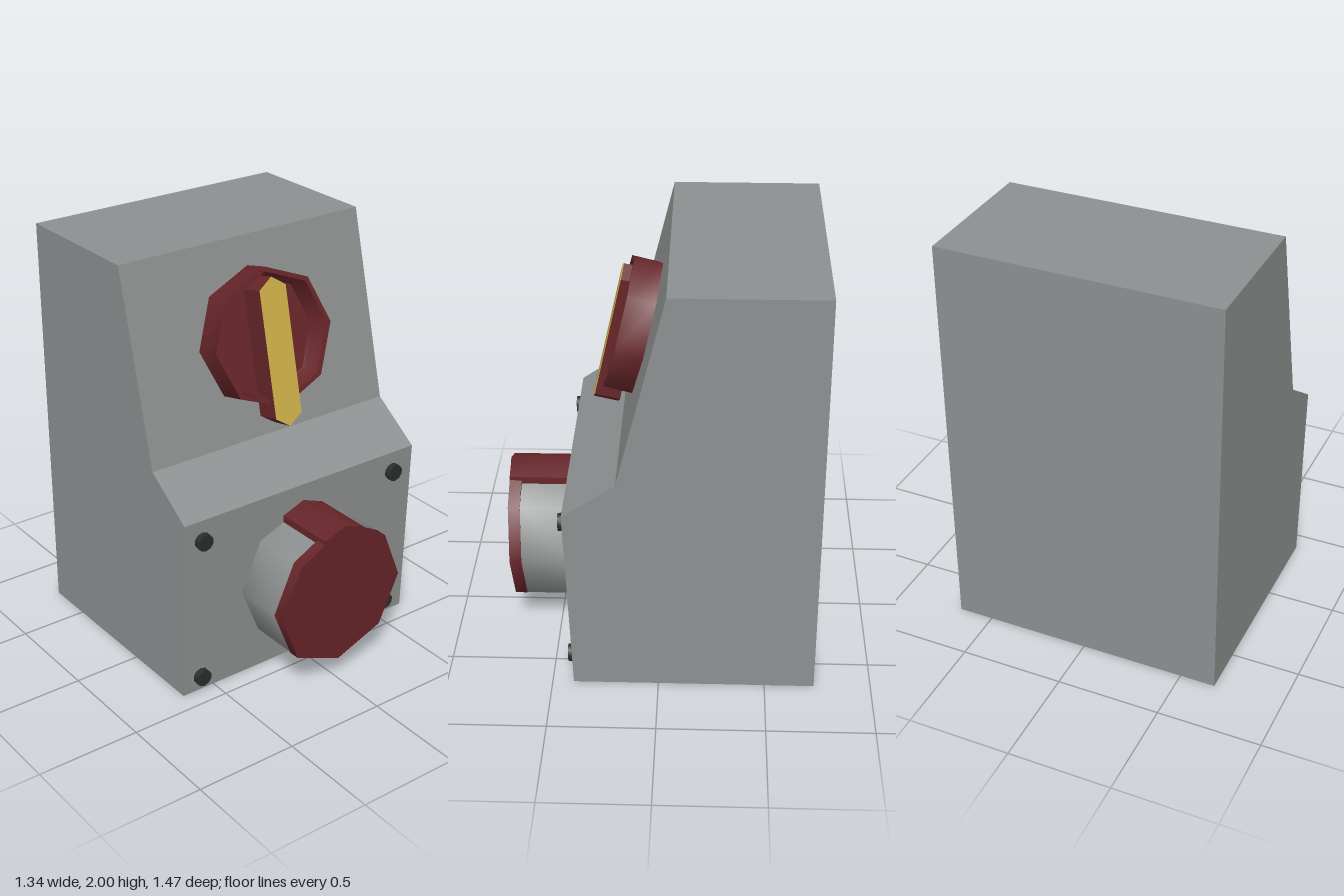
import * as THREE from 'three';
import { toCreasedNormals } from 'three/addons/utils/BufferGeometryUtils.js';

const mat = (color) => new THREE.MeshStandardMaterial({ color });
const grey = mat(0x8d9090), red = mat(0x662529), yellow = mat(0xccae48), black = mat(0x2b2d2d);

// Neighbouring sides of the octagons shade smoothly, all other edges stay sharp
function add(parent, name, geometry, material, crease = 0.9) {
  const mesh = new THREE.Mesh(toCreasedNormals(geometry, crease), material);
  mesh.name = name;
  parent.add(mesh);
  return mesh;
}

// Extrude an outline along +z, from z0 to z1
function prism(points, z0, z1) {
  const shape = new THREE.Shape(points.map(([x, y]) => new THREE.Vector2(x, y)));
  return new THREE.ExtrudeGeometry(shape, { depth: z1 - z0, bevelEnabled: false }).translate(0, 0, z0);
}

function frame(parent, name, x, y, z, tilt) {
  const group = new THREE.Group();
  group.name = name;
  group.position.set(x, y, z);
  group.rotation.x = tilt;
  parent.add(group);
  return group;
}

export function createModel() {
  const model = new THREE.Group();
  model.name = 'switchedSocket';

  // Housing: side profile (z, y) extruded across the width
  const profile = [[-0.733, 0], [0.4, 0], [0.435, 0.92], [0.19, 1.09], [-0.035, 2], [-0.733, 2]];
  add(model, 'housing', prism(profile.map(([z, y]) => [-z, y]).reverse(), -0.67, 0.67).rotateY(Math.PI / 2), grey, 0.1);

  // Rotary switch on the upper panel
  const rotary = frame(model, 'rotarySwitch', 0, 1.545, 0.078, -0.242);
  const dish = [[0.328, 0], [0.328, 0.133], [0.305, 0.133], [0.287, 0.055], [0.28, 0.04], [0, 0.04]]
    .map(([r, h]) => new THREE.Vector2(r, h));
  add(rotary, 'switchDish', new THREE.LatheGeometry(dish, 8).rotateX(Math.PI / 2), red);

  // Handle bar with pointed ends and a coloured face, leaning out slightly at the top
  const handle = frame(rotary, 'handle', 0, 0, 0, 0.025);
  const bar = [[0, -0.412], [0.073, -0.362], [0.073, 0.238], [0, 0.288], [-0.073, 0.238], [-0.073, -0.362]];
  add(handle, 'switchHandle', prism(bar, 0.045, 0.165), red);
  add(handle, 'handleFace', prism(bar, 0.165, 0.168), yellow);

  // Level socket whose ends are slanted parallel to the lower panel
  const socket = frame(model, 'socket', 0.003, 0.455, 0.416, 0);
  const slant = new THREE.Matrix4().makeShear(0, 0, 0, 0.035, 0, 0);
  add(socket, 'socketBarrel', new THREE.CylinderGeometry(0.346, 0.346, 0.25, 8, 1, true)
    .rotateX(Math.PI / 2).translate(0, 0, 0.125).applyMatrix4(slant), grey);
  const lid = Array.from({ length: 8 }, (_, i) => {
    const a = i * Math.PI / 4;
    return [-0.348 * Math.sin(a), i === 0 ? 0.38 : 0.348 * Math.cos(a)];
  });
  add(socket, 'socketLid', prism(lid, 0.25, 0.307).applyMatrix4(slant), red);
  const hinge = [[-0.115, 0.3], [0.115, 0.3], [0.115, 0.335], [0, 0.38], [-0.115, 0.335]];
  add(socket, 'lidHinge', prism(hinge, 0, 0.306).applyMatrix4(slant), red);

  // Corner screws
  for (const x of [-0.573, 0.547]) {
    for (const y of [0.08, 0.82]) {
      const screw = add(model, 'screw', new THREE.CylinderGeometry(0.042, 0.042, 0.04, 10).rotateX(Math.PI / 2), black);
      screw.position.set(x, y - 0.003, 0.4 + 0.038 * y + 0.01);
      screw.rotation.x = 0.038;
    }
  }
  return model;
}
